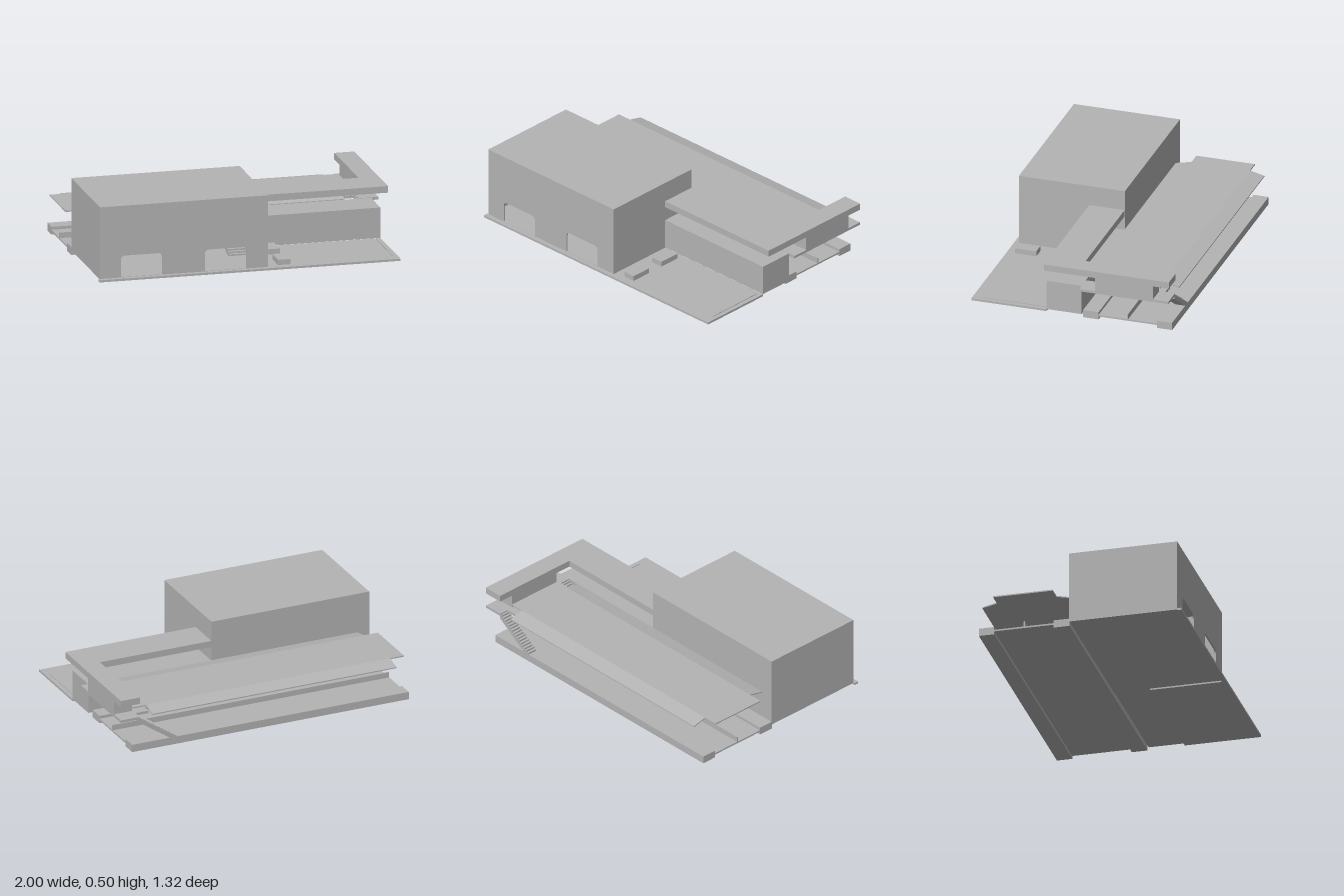
import * as THREE from 'three';

export function createModel() {
  const model = new THREE.Group();
  model.name = 'station';
  const grey = new THREE.MeshStandardMaterial({ color: 0xb4b4b4 });
  grey.name = 'concrete grey';
  grey.side = THREE.DoubleSide;

  const add = (name, geometry, parent = model) => {
    const mesh = new THREE.Mesh(geometry, grey);
    mesh.name = name;
    parent.add(mesh);
    return mesh;
  };
  // Box given by its limits on each axis
  const box = (name, [x0, x1], [y0, y1], [z0, z1], parent) => {
    const mesh = add(name, new THREE.BoxGeometry(x1 - x0, y1 - y0, z1 - z0), parent);
    mesh.position.set((x0 + x1) / 2, (y0 + y1) / 2, (z0 + z1) / 2);
    return mesh;
  };
  const polygon = (points) => new THREE.Shape(points.map(([x, y]) => new THREE.Vector2(x, y)));
  const extrude = (shape, depth) =>
    new THREE.ExtrudeGeometry(shape, { depth, bevelEnabled: false, curveSegments: 6 });

  // Flight of steps rising along +x, with a sloping underside
  const flight = (run, rise, count, width, thick) => {
    const points = [[0, 0]];
    for (let i = 0; i < count; i++) {
      points.push([run * i / count, rise * (i + 1) / count]);
      points.push([run * (i + 1) / count, rise * (i + 1) / count]);
    }
    points.push([run, rise - thick], [thick * run / rise, 0]);
    return extrude(polygon(points), width);
  };

  // Main hall: hollow shell with two doorways
  const hall = new THREE.Group();
  hall.name = 'mainHall';
  model.add(hall);
  const facade = polygon([[-0.99, 0.03], [0.1, 0.03], [0.1, 0.5], [-0.99, 0.5]]);
  for (const [a, b] of [[-0.855, -0.585], [-0.31, -0.04]]) {
    const r = 0.03, top = 0.175, sill = 0.036;
    const door = new THREE.Path();
    door.moveTo(a, sill);
    door.lineTo(b, sill);
    door.lineTo(b, top - r);
    door.quadraticCurveTo(b, top, b - r, top);
    door.lineTo(a + r, top);
    door.quadraticCurveTo(a, top, a, top - r);
    door.closePath();
    facade.holes.push(door);
  }
  add('frontWall', extrude(facade, 0.01), hall).position.z = 0.62;
  box('backWall', [-0.99, 0.1], [0.03, 0.5], [-0.07, -0.06], hall);
  box('rightWall', [-0.99, -0.98], [0.03, 0.5], [-0.06, 0.62], hall);
  box('leftWall', [0.09, 0.1], [0.03, 0.5], [-0.06, 0.62], hall);
  box('hallRoof', [-0.98, 0.09], [0.49, 0.5], [-0.06, 0.62], hall);
  box('hallFloor', [-0.98, 0.09], [0.03, 0.036], [-0.06, 0.62], hall);

  // Inner stairs climbing to the back
  for (const x of [-0.98, -0.075]) {
    const steps = add('innerStairs', flight(0.38, 0.2, 18, 0.16, 0.03), hall);
    steps.rotation.y = Math.PI / 2;
    steps.position.set(x, 0.036, 0.335);
  }

  // Low side wing and paved forecourt
  box('sideWing', [0.1, 0.95], [0.035, 0.232], [-0.068, 0.165]);
  box('forecourt', [0.1, 0.95], [0.02, 0.034], [0.165, 0.66]);
  box('frontPavement', [-1, 0.1], [0.02, 0.034], [0.63, 0.66]);
  box('forecourtKerb', [0.915, 0.921], [0.034, 0.038], [0.19, 0.585]);
  for (const [z0, z1] of [[0.21, 0.355], [0.465, 0.605]])
    box('forecourtBlock', [0.17, 0.25], [0.034, 0.068], [z0, z1]);

  // Tracks and platforms
  box('trackBed', [-0.99, 0.92], [0.02, 0.031], [-0.61, -0.155]);
  box('trackDivider', [-0.99, 0.92], [0.031, 0.067], [-0.365, -0.357]);
  for (const [z0, z1] of [[-0.17, -0.068], [-0.655, -0.555]])
    box('platform', [-0.99, 0.92], [0, 0.05], [z0, z1]);

  // Platform roof: flat middle with sloping side strips
  box('roofMiddle', [-1, 0.87], [0.251, 0.259], [-0.56, -0.175]);
  const strip = polygon([[0.175, 0.251], [0.07, 0.229], [0.07, 0.236], [0.175, 0.259]]);
  const mirrored = polygon([[0.56, 0.251], [0.655, 0.229], [0.655, 0.236], [0.56, 0.259]]);
  for (const shape of [strip, mirrored]) {
    const mesh = add('roofSlope', extrude(shape, 1.685));
    mesh.rotation.y = Math.PI / 2;
    mesh.position.x = -0.905;
  }

  // Footbridge: L-shaped roof slab, corridor and floor
  const slab = polygon([[0.1, -0.165], [1, -0.165], [1, 0.66], [0.87, 0.66], [0.87, 0.068], [0.1, 0.068]]);
  const bridgeRoof = add('bridgeRoof', extrude(slab, 0.043));
  bridgeRoof.rotation.x = -Math.PI / 2;
  bridgeRoof.position.y = 0.325;
  box('bridgeCorridor', [0.875, 1], [0.234, 0.326], [-0.555, -0.172]);
  box('bridgeFloor', [0.87, 1], [0.217, 0.234], [-0.658, -0.068]);
  box('bridgeLanding', [0.78, 0.87], [0.217, 0.234], [-0.595, -0.14]);

  // Stairs from the platforms up to the footbridge
  for (const z of [-0.135, -0.655])
    add('platformStairs', flight(0.26, 0.175, 16, 0.065, 0.03)).position.set(0.615, 0.05, z);

  return model;
}
